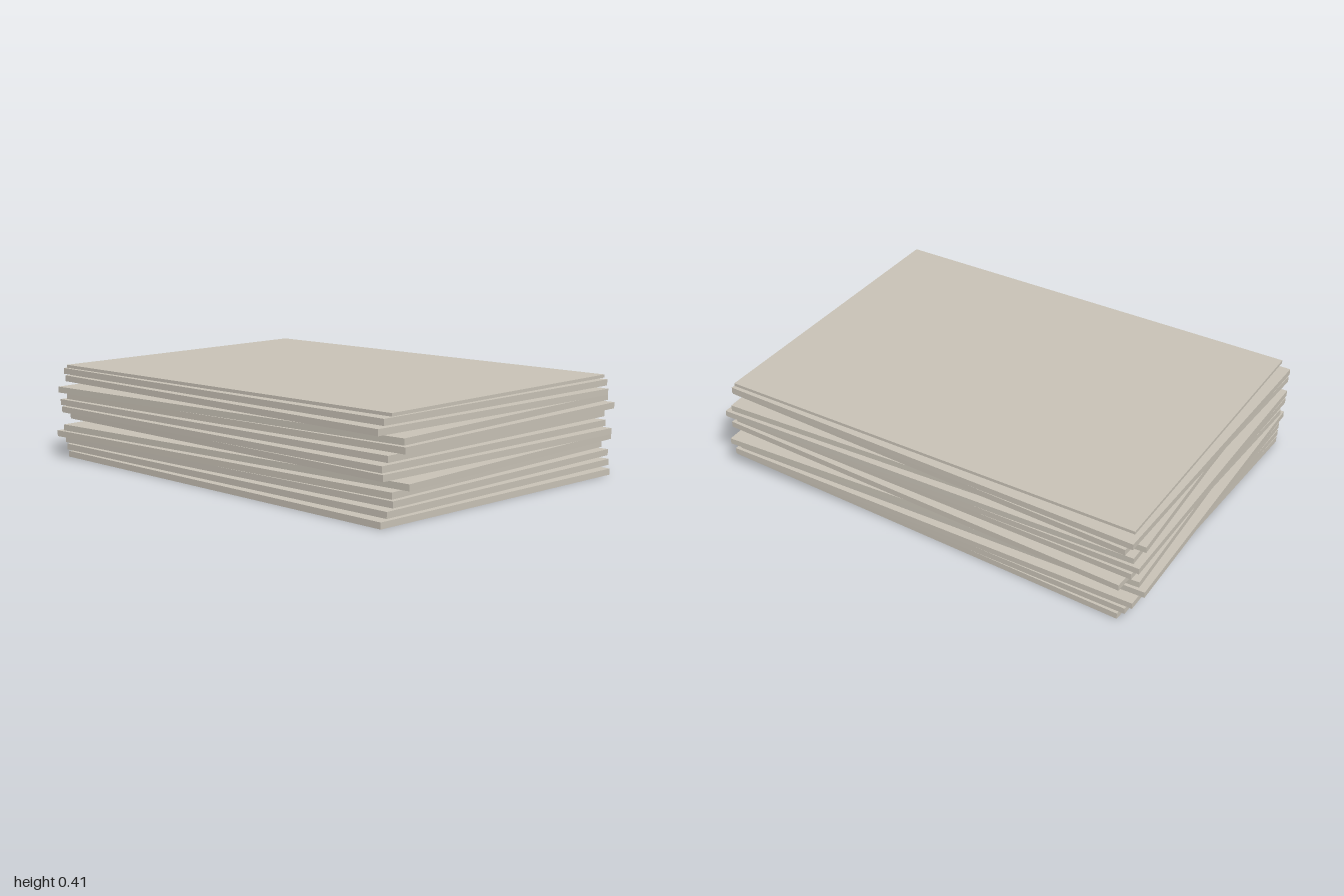
import * as THREE from 'three';

export function createModel() {
  const model = new THREE.Group();
  model.name = 'slabStack';
  const stone = new THREE.MeshStandardMaterial({ color: 0xc8c2b6 });
  stone.name = 'warm grey';

  // One flat slab resting with its underside at y
  function addSlab(name, width, height, depth, x, y, z, turn) {
    const slab = new THREE.Mesh(new THREE.BoxGeometry(width, height, depth), stone);
    slab.name = name;
    slab.position.set(x, y + height / 2, z);
    slab.rotation.y = turn;
    model.add(slab);
  }

  // Loosely stacked slabs: shift and twist repeat in short cycles
  const count = 12, pitch = 0.0334;
  const shiftX = [-0.014, -0.001, 0.012];
  const shiftZ = [0.015, 0.001, -0.012, -0.026];
  for (let i = 0; i < count; i++) {
    const turn = ((i % 5) - 2) * 0.0202;
    addSlab(`slab${i + 1}`, 1.386, 0.026, 1.915, shiftX[i % 3], i * pitch, shiftZ[i % 4], turn);
  }

  // Thinner, slightly smaller sheet lying straight on top
  addSlab('topSheet', 1.356, 0.013, 1.887, -0.001, count * pitch, -0.008, 0);
  return model;
}
